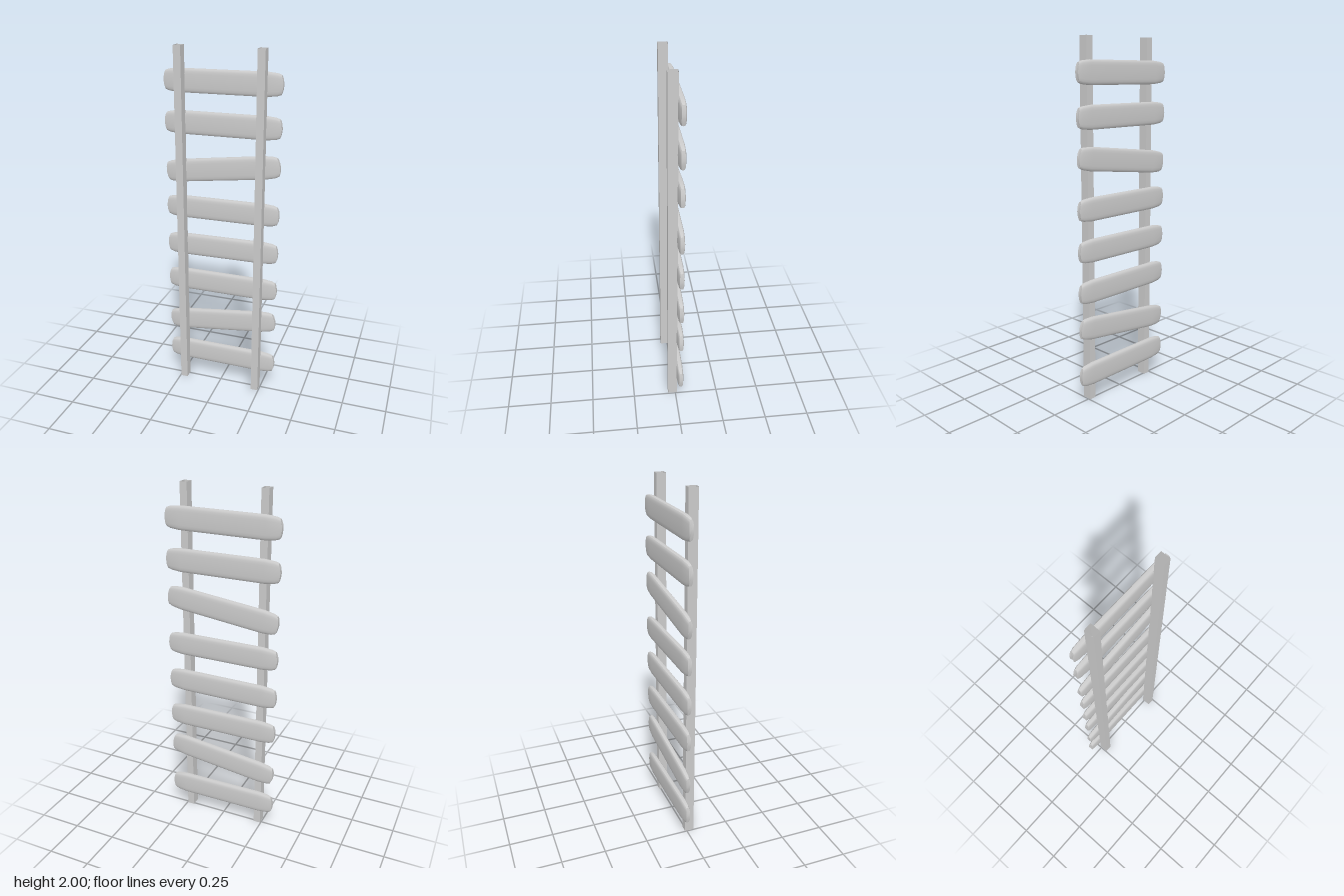
import * as THREE from 'three';
import { toCreasedNormals } from 'three/addons/utils/BufferGeometryUtils.js';

const material = new THREE.MeshStandardMaterial({ color: 0xcccccc });
const openMaterial = new THREE.MeshStandardMaterial({ color: 0xcccccc, side: THREE.DoubleSide });

// Worn plank: rounded cross-sections lofted along x, tapering to bowed ends
function plankGeometry() {
  const halfHeight = 0.064, halfDepth = 0.0185, sides = 20;
  // x, height scale, depth scale
  const half = [[0.24, 1, 1], [0.305, 0.91, 0.87], [0.327, 0.8, 0.6]];
  const stations = [...half.map(([x, h, d]) => [-x, h, d]).reverse(), ...half];
  const round = (v) => Math.sign(v) * Math.abs(v) ** 0.5;
  const positions = [], indices = [];
  for (const [x, h, d] of stations) {
    for (let i = 0; i < sides; i++) {
      const a = (i / sides) * Math.PI * 2;
      const y = round(Math.cos(a)), z = round(Math.sin(a));
      const bow = Math.abs(x) > 0.3 ? 0.012 * y * y : 0;
      positions.push(x - Math.sign(x) * bow, y * h * halfHeight, z * d * halfDepth);
    }
  }
  for (let s = 0; s < stations.length - 1; s++) {
    for (let i = 0; i < sides; i++) {
      const j = (i + 1) % sides;
      const a = s * sides + i, b = s * sides + j;
      indices.push(a, b, a + sides, b, b + sides, a + sides);
    }
  }
  // End caps
  const last = (stations.length - 1) * sides;
  const center = stations.length * sides;
  positions.push(-0.327, 0, 0, 0.327, 0, 0);
  for (let i = 0; i < sides; i++) {
    const j = (i + 1) % sides;
    indices.push(center, j, i, center + 1, last + i, last + j);
  }
  const geometry = new THREE.BufferGeometry();
  geometry.setAttribute('position', new THREE.Float32BufferAttribute(positions, 3));
  geometry.setIndex(indices);
  return toCreasedNormals(geometry, 0.6);
}

// Square tube, open at top and bottom
function postGeometry() {
  const geometry = new THREE.CylinderGeometry(Math.SQRT1_2, Math.SQRT1_2, 2, 4, 1, true);
  geometry.rotateY(Math.PI / 4);
  geometry.scale(0.041, 1, 0.053);
  return toCreasedNormals(geometry, 0.6);
}

export function createModel() {
  const model = new THREE.Group();
  model.name = 'ladder';

  // Upright posts
  const post = postGeometry();
  for (const side of [-1, 1]) {
    const mesh = new THREE.Mesh(post, openMaterial);
    mesh.name = side > 0 ? 'leftPost' : 'rightPost';
    mesh.position.set(side * 0.225, 1, 0.0165);
    model.add(mesh);
  }

  // Plank rungs on the back: height and tilt
  const rungs = [
    [0.167, -0.004], [0.407, 0.125], [0.65, 0], [0.877, 0.012],
    [1.106, 0.006], [1.346, 0.125], [1.59, 0.004], [1.815, 0.008],
  ];
  const plank = plankGeometry();
  rungs.forEach(([y, tilt], i) => {
    const mesh = new THREE.Mesh(plank, material);
    mesh.name = `rung${i + 1}`;
    mesh.position.set(0, y, -0.0245);
    mesh.rotation.z = tilt;
    model.add(mesh);
  });
  return model;
}
